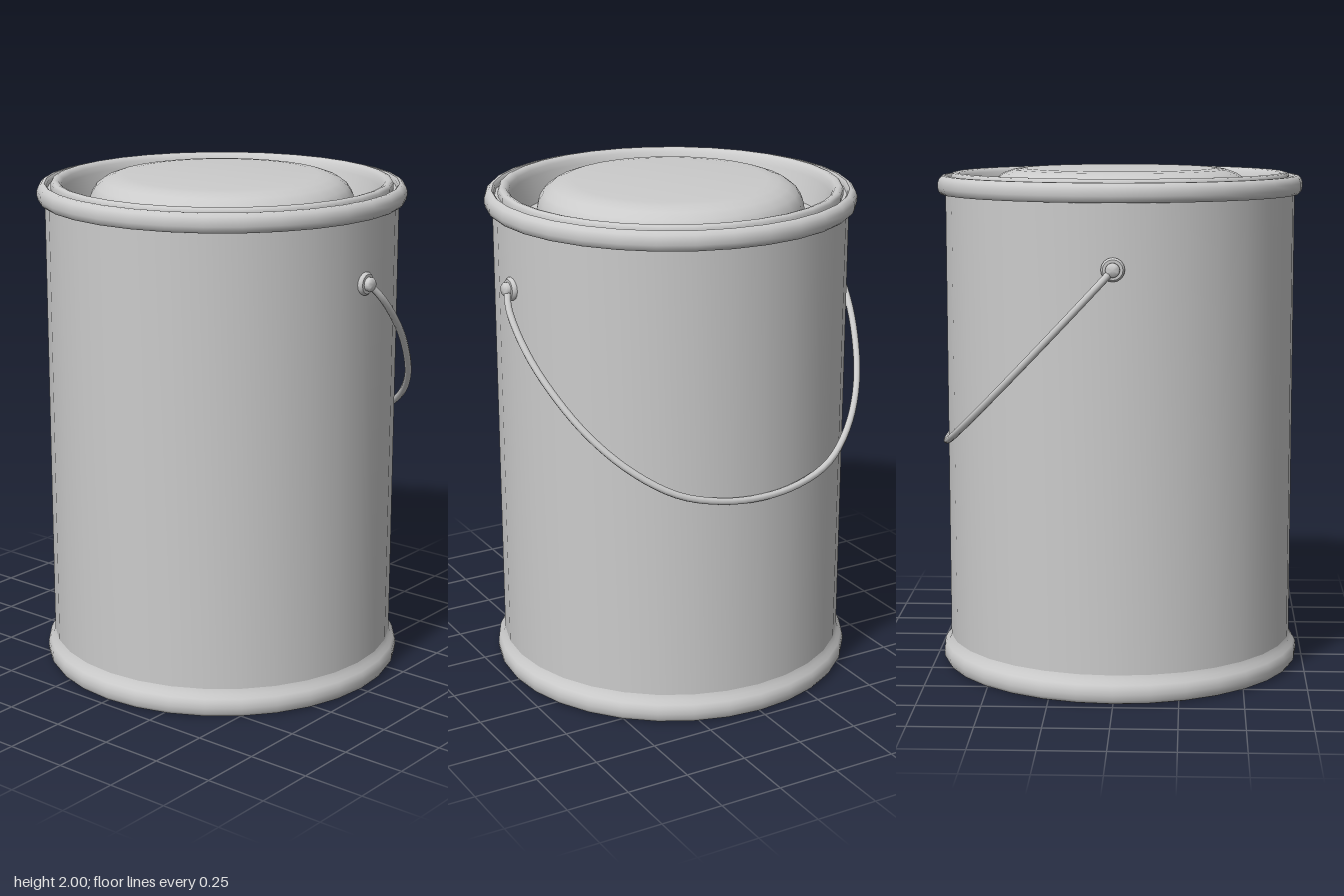
import * as THREE from 'three';
import { toCreasedNormals } from 'three/addons/utils/BufferGeometryUtils.js';

const SIDES = 32;
const material = new THREE.MeshStandardMaterial({ color: 0xcccccc });

function addMesh(parent, name, geometry) {
  const mesh = new THREE.Mesh(geometry, material);
  mesh.name = name;
  parent.add(mesh);
  return mesh;
}

// Revolves [radius, height] pairs around y, keeping strong corners crisp
function turned(profile, sides = SIDES) {
  const points = profile.map(([r, y]) => new THREE.Vector2(r, y));
  return toCreasedNormals(new THREE.LatheGeometry(points, sides), 0.85);
}

export function createModel() {
  const model = new THREE.Group();
  model.name = 'paintCan';

  // Recessed base and rolled bottom rim
  addMesh(model, 'baseRim', turned([
    [0, 0.07], [0.688, 0.07], [0.688, 0.015], [0.695, 0.004], [0.705, 0],
    [0.717, 0.005], [0.725, 0.018], [0.727, 0.04], [0.725, 0.06],
    [0.717, 0.075], [0.705, 0.09], [0.697, 0.11],
  ]));

  // Straight wall
  addMesh(model, 'wall', turned([[0.697, 0.11], [0.697, 1.91]]));

  // Rolled top rim, ending in the seam around the lid
  addMesh(model, 'topRim', turned([
    [0.695, 1.9], [0.715, 1.9], [0.724, 1.909], [0.728, 1.925], [0.728, 1.945],
    [0.722, 1.961], [0.71, 1.972], [0.698, 1.973], [0.691, 1.966], [0.688, 1.95], [0.67, 1.95],
  ]));

  // Lid: raised lip, sunken channel and domed centre
  addMesh(model, 'lid', turned([
    [0.674, 1.95], [0.674, 1.972], [0.668, 1.982], [0.657, 1.985], [0.643, 1.981],
    [0.632, 1.968], [0.625, 1.945], [0.592, 1.845], [0.525, 1.845],
    [0.525, 1.89], [0.517, 1.927], [0.497, 1.958], [0.465, 1.981],
    [0.425, 1.995], [0.38, 2], [0, 2],
  ]));

  // Round ears holding the handle on front and back
  const pivotY = 1.655;
  for (const side of [1, -1]) {
    const ear = new THREE.Group();
    ear.name = side > 0 ? 'frontEar' : 'backEar';
    ear.position.set(0, pivotY, side * 0.69);
    ear.rotation.x = side * Math.PI / 2;
    addMesh(ear, 'earPlate', turned([
      [0.045, 0], [0.045, 0.012], [0.038, 0.02], [0.027, 0.02],
      [0.027, 0.036], [0.02, 0.043], [0, 0.045],
    ], 16));
    model.add(ear);
  }

  // Wire handle, hanging in a slanted plane towards +x
  const half = [[0.715, 1.65], [0.735, 1.6], [0.732, 1.48], [0.695, 1.35],
    [0.61, 1.19], [0.49, 1.06], [0.34, 0.965], [0.17, 0.92]];
  const toPoint = ([z, y]) => new THREE.Vector3((pivotY - y) * 0.935, y, z);
  const path = new THREE.CatmullRomCurve3([
    ...half.map(toPoint),
    toPoint([0, 0.907]),
    ...half.map(([z, y]) => toPoint([-z, y])).reverse(),
  ]);
  addMesh(model, 'handle', new THREE.TubeGeometry(path, 64, 0.014, 8));

  return model;
}
